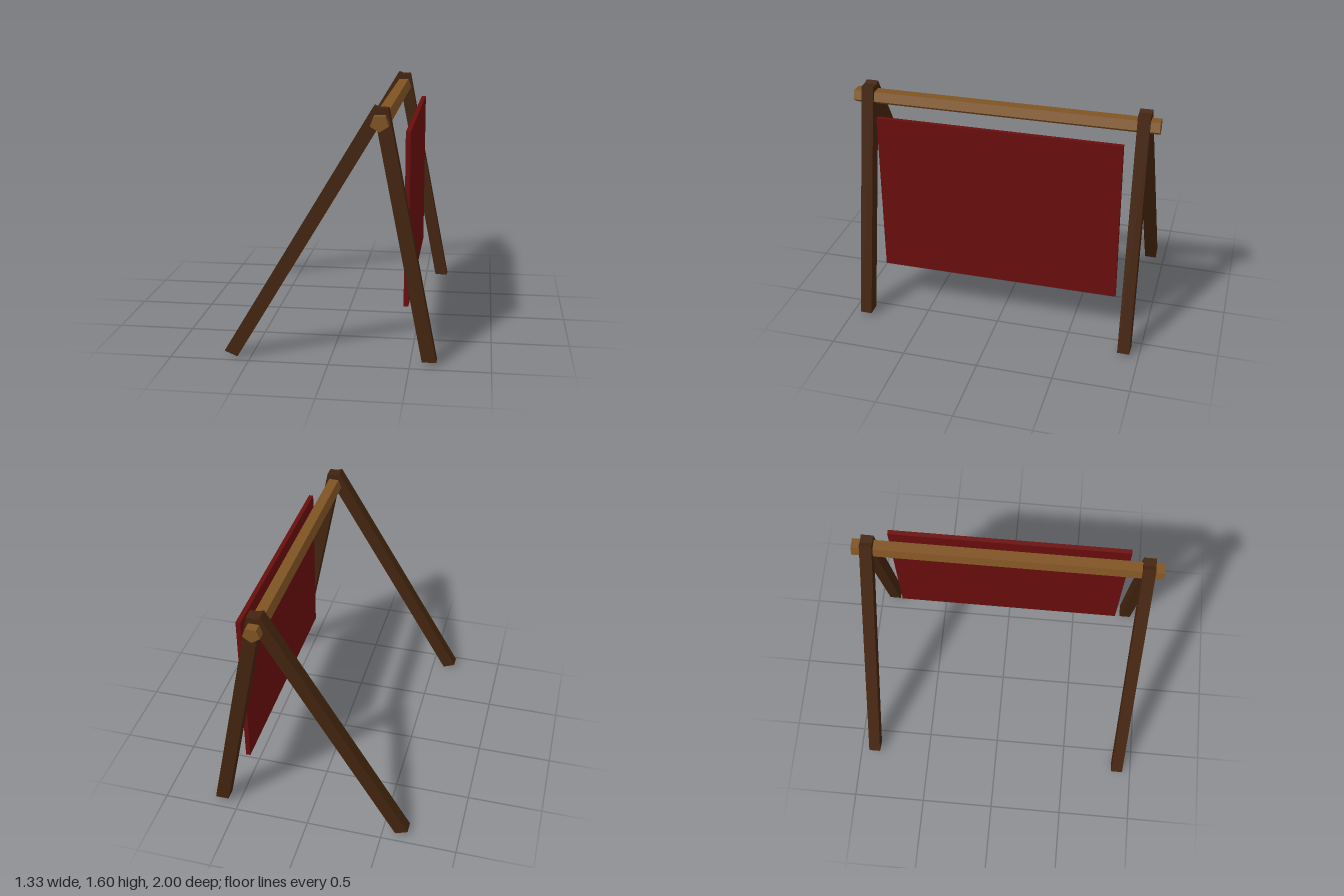
import * as THREE from 'three';

const wood = new THREE.MeshStandardMaterial({ name: 'beam wood', color: 0x7f5323, flatShading: true });
const darkWood = new THREE.MeshStandardMaterial({ name: 'dark leg wood', color: 0x43240f, flatShading: true });
const cloth = new THREE.MeshStandardMaterial({ name: 'red cloth', color: 0x6a0d0d, flatShading: true });

// Square post drawn as a slanted outline in x/y, with thickness along z
function leg(name, outline, z) {
  const shape = new THREE.Shape(outline.map(([x, y]) => new THREE.Vector2(x, y)));
  const depth = 0.08;
  const geometry = new THREE.ExtrudeGeometry(shape, { depth, bevelEnabled: false });
  geometry.translate(0, 0, z - depth / 2);
  const mesh = new THREE.Mesh(geometry, darkWood);
  mesh.name = name;
  return mesh;
}

export function createModel() {
  const group = new THREE.Group();
  group.name = 'clothFrame';

  // A pair of crossed legs at each end
  for (const [end, z] of [['front', 0.9], ['back', -0.9]]) {
    group.add(leg(end + 'LongLeg', [[-0.667, 0.034], [-0.585, 0], [0.349, 1.566], [0.267, 1.6]], z));
    group.add(leg(end + 'ShortLeg', [[0.574, 0.021], [0.664, 0.021], [0.354, 1.587], [0.264, 1.587]], z));
  }

  // Five-sided ridge beam, point down
  const beamGeometry = new THREE.CylinderGeometry(1, 1, 2, 5);
  beamGeometry.rotateX(Math.PI / 2).scale(0.058, 0.052, 1);
  const beam = new THREE.Mesh(beamGeometry, wood);
  beam.name = 'ridgeBeam';
  beam.position.set(0.307, 1.507, 0);
  group.add(beam);

  // Upright cloth panel
  const panel = new THREE.Mesh(new THREE.BoxGeometry(0.03, 1.1, 1.6), cloth);
  panel.name = 'clothPanel';
  panel.position.set(0.462, 0.88, 0);
  group.add(panel);

  return group;
}
